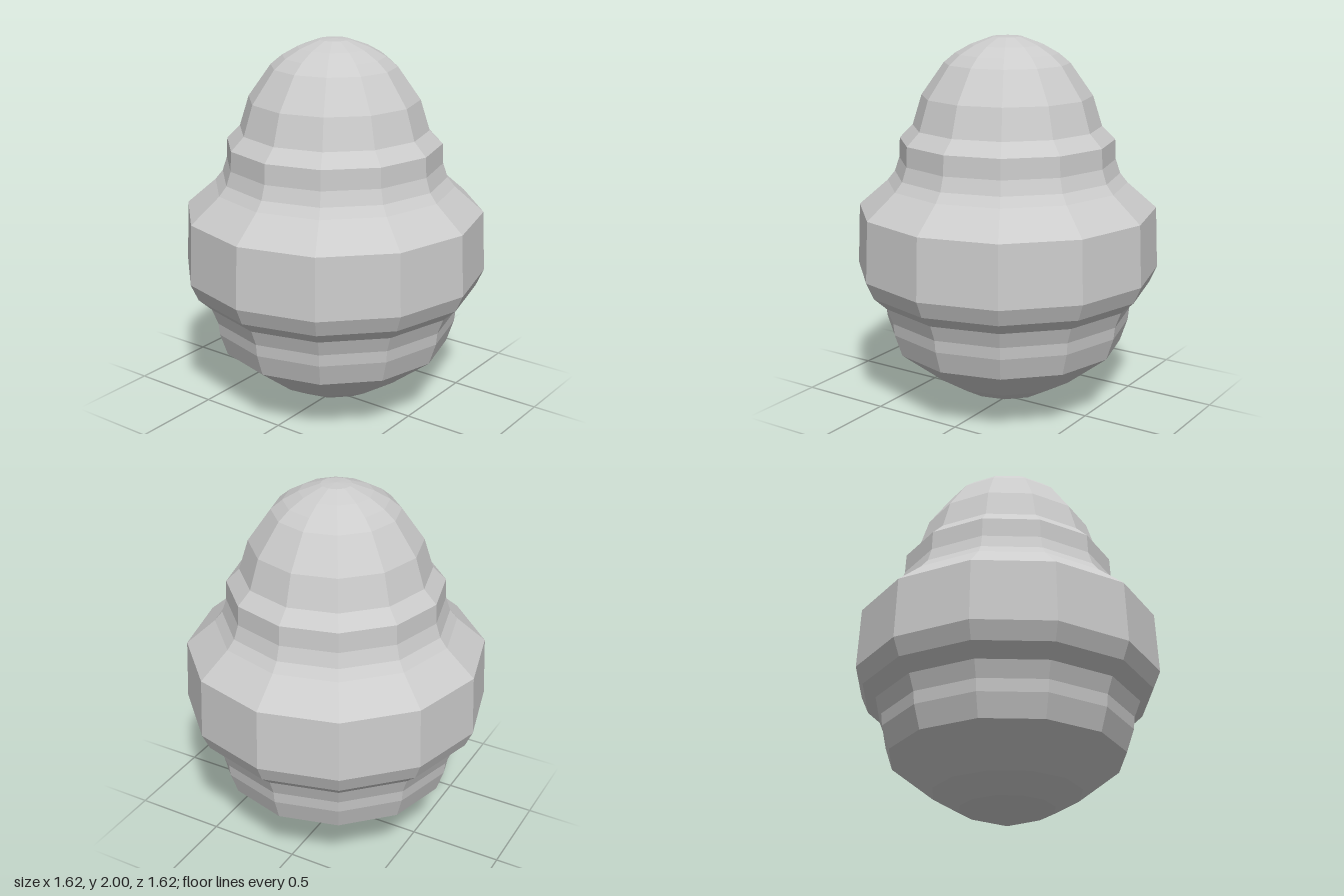
import * as THREE from 'three';

// Low-poly turned body: stacked bulges, pointed base and domed top
export function createModel() {
  const group = new THREE.Group();
  group.name = 'tieredBody';

  // radius, height from the bottom point to the crown
  const profile = [
    [0, 0], [0.25, 0.085], [0.39, 0.165], [0.62, 0.345],   // pointed base
    [0.66, 0.465], [0.667, 0.53], [0.70, 0.615], [0.77, 0.68], // lower ring
    [0.81, 0.77], [0.795, 1.095],                          // wide belt
    [0.64, 1.23], [0.60, 1.28], [0.575, 1.355], [0.57, 1.46], // shoulder
    [0.50, 1.53], [0.45, 1.69], [0.33, 1.86],              // dome
    [0.27, 1.91], [0.19, 1.955], [0.08, 1.995], [0, 2],
  ].map(([r, y]) => new THREE.Vector2(r, y));

  const body = new THREE.Mesh(
    new THREE.LatheGeometry(profile, 12),
    new THREE.MeshStandardMaterial({ color: 0xcccccc, flatShading: true })
  );
  body.name = 'body';
  group.add(body);
  return group;
}
